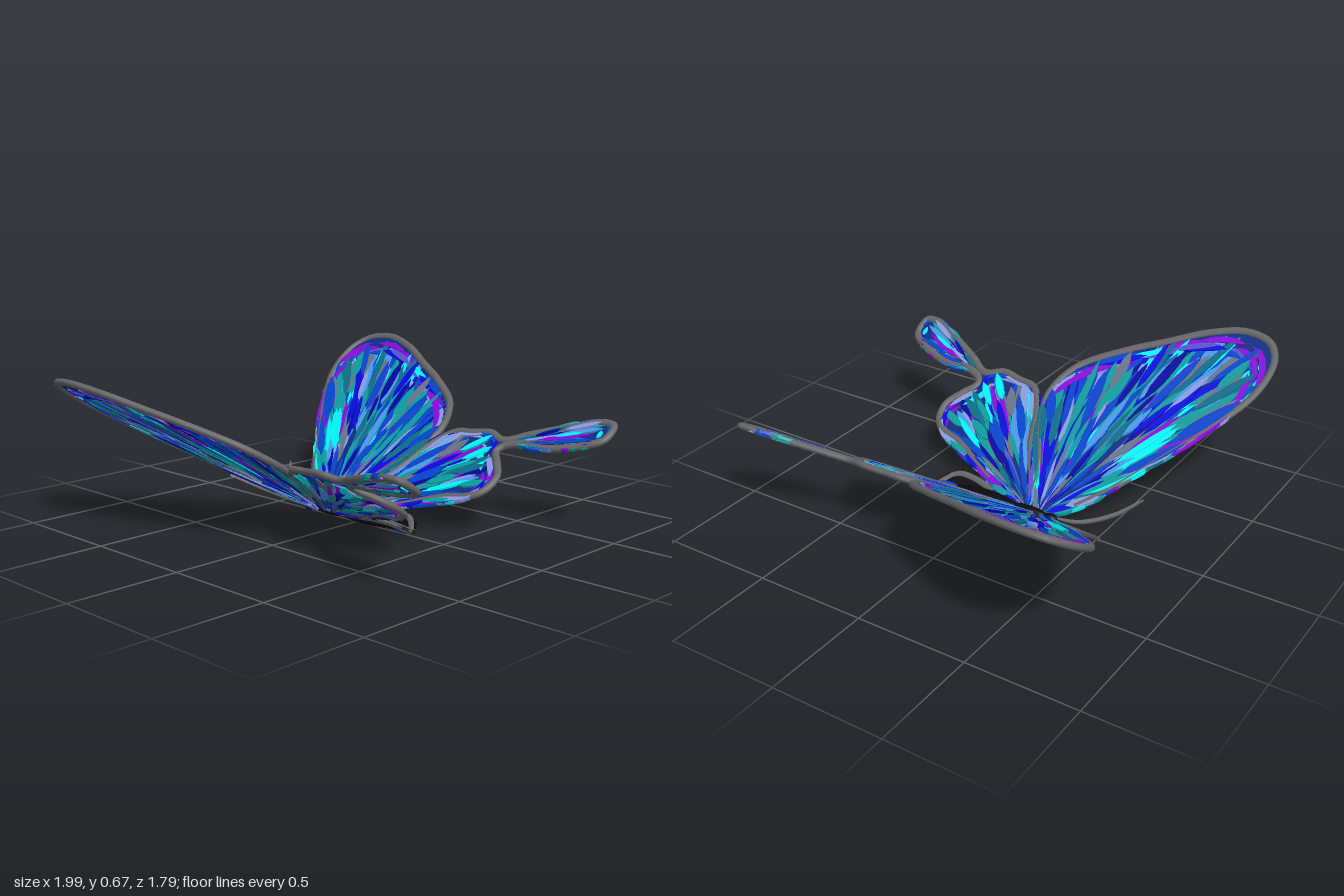
import * as THREE from 'three';
import { mergeGeometries, mergeVertices } from 'three/addons/utils/BufferGeometryUtils.js';

const SLOPE = 0.65, BASE = 0.028;
const GREY = 0x666668, BLACK = 0x0a0a0c;
const COLORS = {
  cyan: 0x00f4f8, teal: 0x0a9c9c, deepTeal: 0x0a6c88, blue: 0x0444cc, royal: 0x0808dc,
  navy: 0x0404a0, steel: 0x8a9ae0, sky: 0x4a98e8, purple: 0x8808dc, violet: 0x5a50d0, ash: 0x6a7288,
};
const INNER = ['navy', 'blue', 'blue', 'royal', 'steel', 'sky', 'ash', 'deepTeal', 'violet', 'blue', 'teal'];
const OUTER = ['teal', 'teal', 'cyan', 'blue', 'royal', 'deepTeal', 'steel', 'purple', 'navy', 'ash', 'sky', 'blue', 'teal'];
const RIM = ['purple', 'violet', 'royal', 'cyan', 'blue', 'purple', 'teal', 'steel'];

// Outlines as [x, z] of the left half, seen from above
const foreRoot = [0.0, -0.2];
const fore = [[0.0, -0.25], [0.14, -0.43], [0.35, -0.61], [0.54, -0.765], [0.70, -0.87], [0.81, -0.9], [0.9, -0.89],
  [0.97, -0.83], [0.995, -0.70], [0.95, -0.53], [0.86, -0.35], [0.78, -0.19], [0.65, 0.0], [0.51, 0.065],
  [0.38, 0.04], [0.19, -0.07], [0.0, -0.15]];
const hindRoot = [0.01, -0.15];
const hindOuter = [[0.01, -0.16], [0.28, -0.01], [0.44, 0.055], [0.52, 0.13], [0.535, 0.22], [0.55, 0.32], [0.525, 0.41]];
const tail = [[0.57, 0.5], [0.645, 0.67], [0.695, 0.81], [0.68, 0.88], [0.59, 0.885], [0.53, 0.79], [0.49, 0.64], [0.49, 0.51]];
const hindInner = [[0.455, 0.43], [0.41, 0.47], [0.33, 0.53], [0.25, 0.52], [0.2, 0.46], [0.17, 0.35], [0.11, 0.21],
  [0.06, 0.09], [0.01, -0.08]];
const abdomen = [[0.0, -0.12], [0.025, -0.08], [0.05, 0.05], [0.075, 0.18], [0.072, 0.26], [0.045, 0.31], [0.0, 0.335]];

function seeded(seed) {
  return () => {
    seed = (seed * 1664525 + 1013904223) % 4294967296;
    return seed / 4294967296;
  };
}

const curveOf = (pts, closed) =>
  new THREE.CatmullRomCurve3(pts.map(([x, z]) => new THREE.Vector3(x, 0, z)), closed, 'centripetal');

// Closed outline moved inward by d
function insetLoop(pts, d, n = 120) {
  const c = curveOf(pts, true);
  return Array.from({ length: n }, (_, i) => {
    const p = c.getPointAt(i / n), t = c.getTangentAt(i / n);
    return [p.x - t.z * d, p.z + t.x * d];
  });
}

// Thin flat sheet filling an outline
function sheet(pts, thick) {
  const shape = new THREE.Shape(pts.map(([x, z]) => new THREE.Vector2(x, z)));
  const g = new THREE.ExtrudeGeometry(shape, { depth: thick, bevelEnabled: false });
  g.rotateX(Math.PI / 2).translate(0, thick / 2, 0).deleteAttribute('uv');
  return g;
}

// Flattened tube along an open edge
function border(pts, radius) {
  const g = new THREE.TubeGeometry(curveOf(pts, false), pts.length * 2, radius, 8, false);
  return g.scale(1, 0.9, 1);
}

// Flat-topped blade with pointed ends, following path(t) -> [x, z]
const SECTION = [[1, 0], [0.8, 1], [-0.8, 1], [-1, 0], [-0.8, -1], [0.8, -1]];
function blade(path, width, height, lift = 0, steps = 5) {
  const pos = [], idx = [];
  for (let i = 0; i <= steps; i++) {
    const t = i / steps, [x, z] = path(t);
    const a = path(Math.max(0, t - 0.05)), b = path(Math.min(1, t + 0.05));
    const dx = b[0] - a[0], dz = b[1] - a[1], len = Math.hypot(dx, dz) || 1;
    const k = Math.pow(Math.max(0, Math.sin(Math.PI * t)), 0.4) * width / len;
    for (const [u, h] of SECTION) pos.push(x - dz * k * u, lift + height * h, z + dx * k * u);
    if (i === steps) break;
    for (let j = 0; j < 6; j++) {
      const p = i * 6 + j, q = i * 6 + (j + 1) % 6;
      idx.push(p, p + 6, q, q, p + 6, q + 6);
    }
  }
  const g = new THREE.BufferGeometry();
  g.setAttribute('position', new THREE.Float32BufferAttribute(pos, 3));
  g.setIndex(idx);
  const flat = g.toNonIndexed();
  flat.computeVertexNormals();
  return flat;
}

// Coloured scales fanning from a root towards the margin, plus a row along the rim
function scales(root, margin, count, rimCount, width, length, rnd, buckets) {
  const c = curveOf(margin, false);
  const at = (a, r) => {
    const p = c.getPointAt(THREE.MathUtils.clamp(a, 0, 1));
    return [root[0] + (p.x - root[0]) * r, root[1] + (p.z - root[1]) * r];
  };
  const add = (a0, r0, a1, r1, w, list) => {
    const name = list[Math.floor(rnd() * list.length)];
    const path = (t) => at(a0 + (a1 - a0) * t, r0 + (r1 - r0) * t);
    (buckets[name] ||= []).push(blade(path, w, 0.006 + rnd() * 0.006, (rnd() - 0.5) * 0.006));
  };
  for (let i = 0; i < count; i++) {
    const a = 0.04 + 0.92 * ((i * 0.618034) % 1), p = c.getPointAt(a);
    const span = Math.hypot(p.x - root[0], p.z - root[1]);
    const dr = Math.min(0.55, length * (0.6 + 0.7 * rnd()) / span);
    const r1 = Math.min(0.95, dr + Math.pow(rnd(), 0.65) * (1 - dr)), r = r1 - dr / 2;
    const w = width * (0.3 + 0.85 * r) * (0.7 + 0.6 * rnd());
    add(a, r1 - dr, a + (rnd() - 0.5) * 0.02, r1, w, r < 0.4 ? INNER : OUTER);
  }
  for (let i = 0; i < rimCount; i++) {
    const a = 0.18 + 0.62 * i / rimCount, r = 0.86 + 0.08 * rnd();
    add(a, r, a + 0.08, r, width * 0.75, RIM);
  }
}

// Fold a flat half up to its wing plane on side s
function fold(g, s) {
  const n = new THREE.Vector3(-SLOPE, 1, 0).normalize();
  const m = new THREE.Matrix4().makeBasis(
    new THREE.Vector3(s, SLOPE, 0), new THREE.Vector3(n.x * s, n.y, 0), new THREE.Vector3(0, 0, 1));
  const out = (g.index ? g.clone() : mergeVertices(g)).applyMatrix4(m.setPosition(0, BASE, 0));
  if (s < 0) {
    const ix = out.index;
    for (let i = 0; i < ix.count; i += 3) {
      const b = ix.getX(i + 1);
      ix.setX(i + 1, ix.getX(i + 2));
      ix.setX(i + 2, b);
    }
  }
  return out;
}

export function createModel() {
  const model = new THREE.Group();
  model.name = 'butterfly';
  const mesh = (parent, name, geometry, color) => {
    const m = new THREE.Mesh(geometry, new THREE.MeshStandardMaterial({ color }));
    m.name = name;
    parent.add(m);
    return m;
  };

  // Flat pieces shared by both sides
  const foreEdge = insetLoop(fore, 0.017);
  const hindEdge = insetLoop([...hindOuter, ...tail, ...hindInner], 0.017, 160);
  const foreScales = {}, hindScales = {}, rnd = seeded(7);
  scales(foreRoot, fore, 480, 34, 0.022, 0.26, rnd, foreScales);
  scales(hindRoot, [...hindOuter, ...hindInner], 270, 22, 0.019, 0.2, rnd, hindScales);
  scales([0.492, 0.44], tail.slice(1, -1), 50, 10, 0.014, 0.18, rnd, hindScales);
  const wings = [
    ['foreWing', foreEdge, foreScales],
    ['hindWing', hindEdge, hindScales],
  ];
  const antennaCurve = curveOf([[0.012, -0.28], [0.03, -0.4], [0.1, -0.53], [0.19, -0.62]], false);
  const antenna = blade((t) => { const p = antennaCurve.getPoint(t); return [p.x, p.z]; }, 0.009, 0.007, 0, 14);

  for (const [s, side] of [[1, 'left'], [-1, 'right']]) {
    for (const [name, edge, buckets] of wings) {
      const wing = new THREE.Group();
      wing.name = side + name[0].toUpperCase() + name.slice(1);
      mesh(wing, 'membrane', fold(sheet(edge, 0.006), s), 0x0c2c84);
      mesh(wing, 'border', fold(border(edge.filter(([x]) => x > 0.08), 0.017), s), GREY);
      for (const key in buckets) mesh(wing, key + 'Scales', fold(mergeGeometries(buckets[key]), s), COLORS[key]);
      model.add(wing);
    }
    // Folded abdomen side, its rim, the antenna and the eye
    mesh(model, side + 'AbdomenSide', fold(sheet(abdomen, 0.014), s), BLACK);
    const rim = abdomen.slice(2).map(([x, z]) => [Math.max(0, x - 0.014), z - (z > 0.3 ? 0.014 : 0)]);
    mesh(model, side + 'AbdomenRim', fold(border(rim, 0.015), s), GREY);
    mesh(model, side + 'Antenna', fold(antenna, s), GREY);
    const eye = mesh(model, side + 'Eye', new THREE.SphereGeometry(0.02, 12, 8), 0x16184c);
    eye.position.set(s * 0.022, 0.035, -0.275);
  }

  // Body core: [name, half sizes, y, z, colour]
  const core = [
    ['abdomen', [0.04, 0.027, 0.17], 0.04, 0.06, BLACK],
    ['thorax', [0.026, 0.026, 0.1], 0.038, -0.16, BLACK],
    ['head', [0.022, 0.02, 0.035], 0.04, -0.265, BLACK],
    ['abdomenTip', [0.014, 0.018, 0.06], 0.032, 0.265, COLORS.blue],
  ];
  for (const [name, size, y, z, color] of core) {
    const part = mesh(model, name, new THREE.SphereGeometry(1, 16, 12).scale(...size), color);
    part.position.set(0, y, z);
  }
  return model;
}
